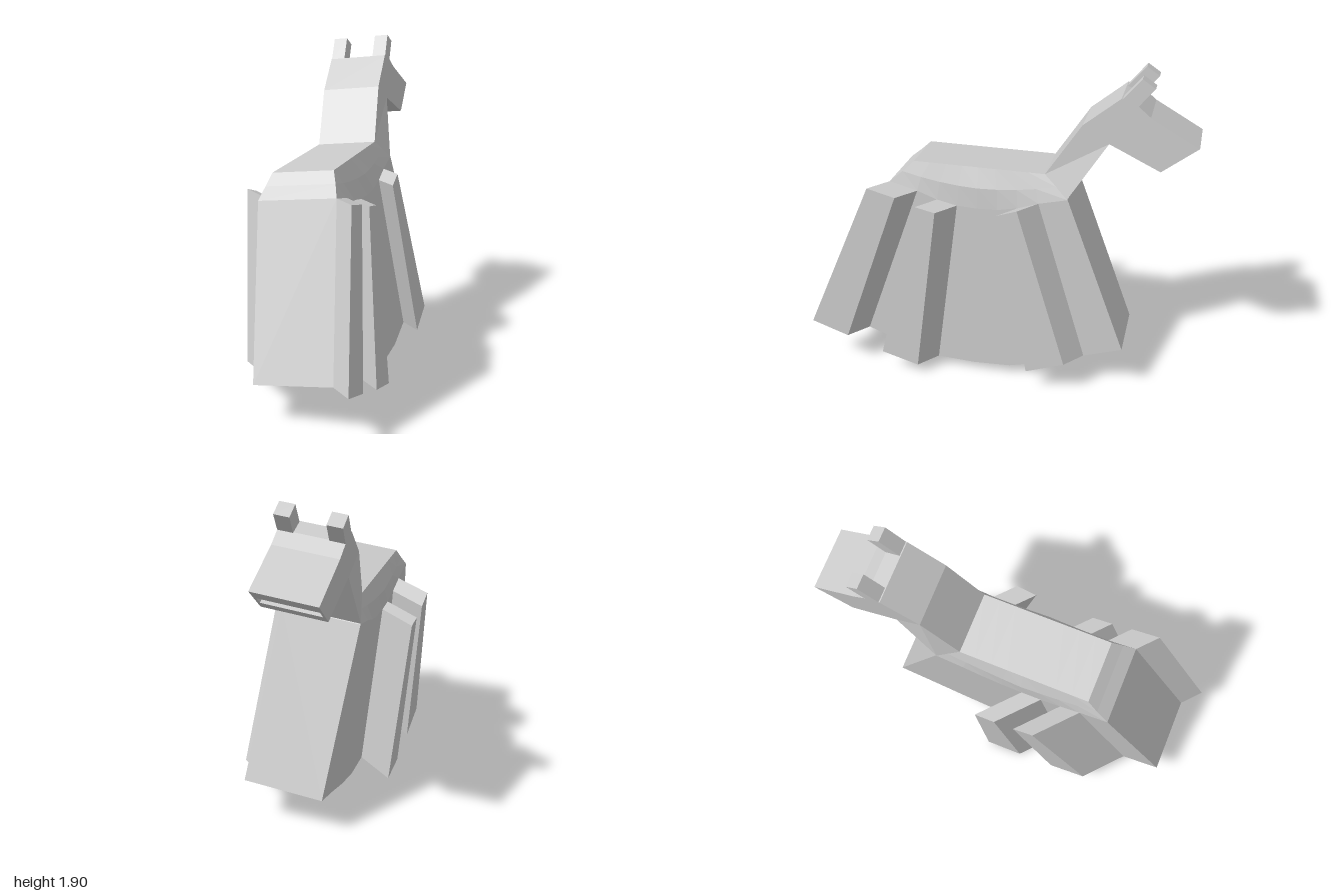
import * as THREE from 'three';

const material = new THREE.MeshStandardMaterial({ color: 0xcccccc, flatShading: true });

// The animal stands turned and slightly rolled: u = toward head, v = up, w = sideways.
const WC = 0.033, S = 0.113, C = 0.9936;
function place(u, v, w) {
  const side = C * (w + WC) - S * v;
  return new THREE.Vector3(0.75 * u + 0.66 * side, C * v + S * (w + WC), -0.66 * u + 0.75 * side);
}

// Skin a row of equal-sized rings (tail to head) and cap both ends.
function loft(name, rings) {
  const pos = [];
  const quad = (a, b, c, d) => [a, b, c, a, c, d].forEach(p => pos.push(p.x, p.y, p.z));
  const n = rings[0].length;
  for (let k = 0; k < rings.length - 1; k++) {
    for (let i = 0; i < n; i++) {
      const j = (i + 1) % n;
      quad(rings[k][i], rings[k][j], rings[k + 1][j], rings[k + 1][i]);
    }
  }
  const first = rings[0], last = rings[rings.length - 1];
  for (let i = 0; i < n / 2 - 1; i++) {
    quad(first[i], first[n - 1 - i], first[n - 2 - i], first[i + 1]);
    quad(last[i], last[i + 1], last[n - 2 - i], last[n - 1 - i]);
  }
  const geometry = new THREE.BufferGeometry();
  geometry.setAttribute('position', new THREE.Float32BufferAttribute(pos, 3));
  geometry.computeVertexNormals();
  const mesh = new THREE.Mesh(geometry, material);
  mesh.name = name;
  return mesh;
}

// Mirrored ring from [u, v, halfWidth] points listed bottom to top.
function mirroredRing(points) {
  const left = points.map(([u, v, w]) => place(u, v, -w));
  const right = points.map(([u, v, w]) => place(u, v, w)).reverse();
  return [...left, ...right];
}

// Nine stations along the body, mirrored fore and aft about the middle.
const MID = -0.09;
const hemHeight = [0.022, 0.032, 0.092, 0.172, 0.245];
const shoulderReach = [0, 0.12, 0.24, 0.36, 0.528];
const shoulderHeight = [1.052, 1.057, 1.082, 1.124, 1.165];
function station(k) {
  const d = k - 4, a = Math.abs(d), t = a / 4;
  return {
    hem: [MID + d * 0.225, hemHeight[a], 0.228],
    shoulder: [MID + Math.sign(d) * shoulderReach[a], shoulderHeight[a], 0.228],
    flank: [MID + d * 0.114, 1.175 + 0.053 * t * t, 0.222 - 0.017 * t],
    back: [-0.095 + d * 0.097, 1.29, 0.181]
  };
}

// Slat pulled straight out of one body segment, forward (dz > 0) or backward.
function slat(name, segment, dz) {
  const side = Math.sign(dz);
  const rings = [segment, segment + 1].map(k => {
    const { hem, shoulder } = station(k);
    const low = place(hem[0], hem[1], side * hem[2]);
    const high = place(shoulder[0], shoulder[1], side * shoulder[2]);
    const out = p => p.clone().add(new THREE.Vector3(0, 0, dz));
    return side > 0 ? [low, high, out(high), out(low)] : [out(low), out(high), high, low];
  });
  return loft(name, rings);
}

export function createModel() {
  const model = new THREE.Group();
  model.name = 'longNeckedAnimal';

  // Flared body with a curved hem and bevelled back
  const bodyRings = [];
  for (let k = 0; k <= 8; k++) {
    const s = station(k);
    bodyRings.push(mirroredRing([s.hem, s.shoulder, s.flank, s.back]));
  }
  model.add(loft('body', bodyRings));

  // Leg slats
  for (const k of [0, 2, 6]) model.add(slat('rightLegSlat', k, 0.155));
  for (const k of [1, 3]) model.add(slat('leftLegSlat', k, -0.3));

  // Neck and head; the last two rings sink the mouth slot into the muzzle
  const head = [
    [[0.433, 1.167, 0.228], [0.293, 1.29, 0.181]],
    [[0.645, 1.505, 0.18], [0.491, 1.6, 0.18]],
    [[0.68, 1.489, 0.18], [0.695, 1.77, 0.18]],
    [[0.74, 1.462, 0.18], [0.787, 1.737, 0.18]],
    [[0.8, 1.434, 0.18], [0.862, 1.677, 0.18]],
    [[0.94, 1.37, 0.18], [1.14, 1.526, 0.18]],
    [[1.0, 1.417, 0.165], [1.06, 1.464, 0.165]],
    [[0.87, 1.475, 0.165], [0.93, 1.522, 0.165]]
  ];
  model.add(loft('neckAndHead', head.map(mirroredRing)));

  // Ears
  for (const [name, w0, w1] of [['leftEar', -0.18, -0.095], ['rightEar', 0.095, 0.18]]) {
    const earRing = (lo, hi) => [place(...lo, w0), place(...hi, w0), place(...hi, w1), place(...lo, w1)];
    model.add(loft(name, [
      earRing([0.695, 1.76], [0.8, 1.888]),
      earRing([0.787, 1.73], [0.875, 1.84])
    ]));
  }
  return model;
}
